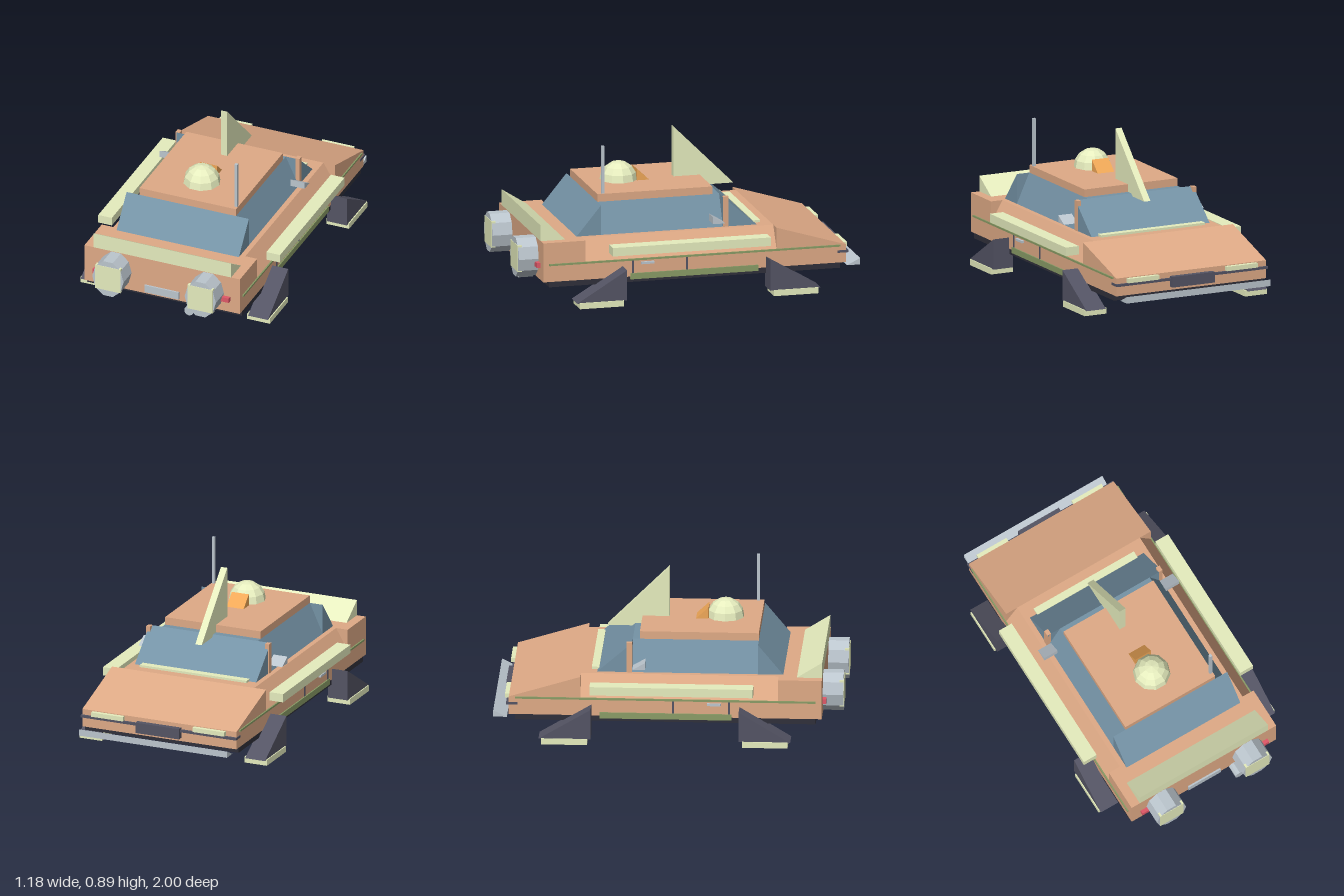
import * as THREE from 'three';

const paint = (color) => new THREE.MeshStandardMaterial({ color, flatShading: true });
const M = {
  body: paint(0xdfaa86), glass: paint(0x7593a6), pale: paint(0xe6edbe), dark: paint(0x545464),
  under: paint(0x30303a), metal: paint(0xbcc6ce), green: paint(0x8a9c66), red: paint(0xe05868), orange: paint(0xf0a858),
};

export function createModel() {
  const root = new THREE.Group();

  const add = (name, geometry, material) => {
    const mesh = new THREE.Mesh(geometry, material);
    mesh.name = name;
    root.add(mesh);
    return mesh;
  };
  // Box given by its limits on each axis
  const box = (name, mat, [x0, x1], [y0, y1], [z0, z1]) =>
    add(name, new THREE.BoxGeometry(x1 - x0, y1 - y0, z1 - z0)
      .translate((x0 + x1) / 2, (y0 + y1) / 2, (z0 + z1) / 2), mat);
  const extrude = (points, depth) => new THREE.ExtrudeGeometry(
    new THREE.Shape(points.map(([a, b]) => new THREE.Vector2(a, b))), { depth, bevelEnabled: false });
  // Side profile of [z, y] points, swept across x
  const across = (name, mat, points, x0, x1) =>
    add(name, extrude(points, x1 - x0).rotateY(-Math.PI / 2).translate(x1, 0, 0), mat);
  // Cross-section of [x, y] points, swept along z
  const along = (name, mat, points, z0, z1) =>
    add(name, extrude(points, z1 - z0).translate(0, 0, z0), mat);
  // Left and right copies; x limits are ordered for each side
  const sides = (make) => [1, -1].forEach((s) =>
    make(s === 1 ? 'left' : 'right', (a, b) => (s === 1 ? [a, b] : [-b, -a]), s));

  // Hull: sloped nose, chamfered middle, square end block
  const W = 0.483;
  across('noseHull', M.body, [[-0.91, 0.145], [-0.5, 0.145], [-0.5, 0.375], [-0.91, 0.25]], -W, W);
  along('middleHull', M.body,
    [[-W, 0.145], [W, 0.145], [W, 0.25], [0.41, 0.375], [-0.41, 0.375], [-W, 0.25]], -0.5, 0.63);
  box('endHull', M.body, [-W, W], [0.145, 0.375], [0.63, 0.88]);
  box('underside', M.under, [-W + 0.002, W - 0.002], [0.113, 0.146], [-0.875, 0.845]);

  // Cabin: core with sloped glass on all four sides, then the roof
  box('cabinCore', M.glass, [-0.3, 0.3], [0.37, 0.55], [-0.21, 0.51]);
  across('noseWindow', M.glass, [[-0.41, 0.375], [-0.21, 0.375], [-0.21, 0.55]], -0.38, 0.38);
  across('endWindow', M.glass, [[0.51, 0.375], [0.655, 0.375], [0.51, 0.55]], -0.38, 0.38);
  sides((side, span, s) => along(side + 'SideWindow', M.glass,
    [[0.3 * s, 0.375], [0.38 * s, 0.375], [0.3 * s, 0.55]], -0.21, 0.51));
  box('roof', M.body, [-0.3, 0.3], [0.55, 0.595], [-0.17, 0.51]);
  box('windowSill', M.pale, [-0.335, 0.335], [0.373, 0.388], [-0.443, -0.4]);

  // Roof fittings
  across('fin', M.pale, [[-0.015, 0.535], [-0.015, 0.89], [-0.37, 0.535]], -0.02, 0.02);
  add('dome', new THREE.SphereGeometry(0.108, 10, 4, 0, Math.PI * 2, 0, Math.PI / 2)
    .translate(0, 0.597, 0.305), M.pale);
  across('domeWedge', M.orange, [[0.21, 0.595], [0.21, 0.662], [0.138, 0.595]], -0.053, 0.053);
  box('antenna', M.metal, [0.28, 0.296], [0.595, 0.875], [0.468, 0.485]);
  across('spoiler', M.pale, [[0.88, 0.375], [0.88, 0.467], [0.735, 0.375]], -0.428, 0.428);

  sides((side, span, s) => {
    // Flank trim and doors
    box(side + 'TrimLine', M.green, span(0.475, 0.491), [0.24, 0.251], [-0.875, 0.845]);
    box(side + 'LowerSill', M.green, span(0.47, 0.491), [0.13, 0.165], [-0.39, 0.365]);
    box(side + 'SidePod', M.pale, span(0.48, 0.565), [0.292, 0.342], [-0.445, 0.49]);
    for (const z of [0.03, 0.35])
      box(side + 'DoorGap', M.dark, span(0.475, 0.487), [0.165, 0.24], [z - 0.006, z + 0.006]);
    box(side + 'DoorHandle', M.metal, span(0.48, 0.498), [0.217, 0.23], [0.225, 0.303]);

    // Window post and mirror
    box(side + 'WindowPost', M.body, span(0.36, 0.385), [0.375, 0.552], [-0.243, -0.21]);
    across(side + 'Mirror', M.metal,
      [[-0.133, 0.412], [-0.133, 0.453], [-0.205, 0.412]], ...span(0.363, 0.45));

    // Landing legs with pads
    for (const [z, tip, pad0, pad1] of [[0.41, 0.705, 0.43, 0.69], [-0.437, -0.735, -0.72, -0.457]]) {
      across(side + 'Leg', M.dark, [[z, 0.032], [z, 0.21], [tip, 0.032]], ...span(0.458, 0.582));
      box(side + 'FootPad', M.pale, span(0.447, 0.588), [0, 0.035], [pad0, pad1]);
    }

    // Thrusters and small lights
    const thruster = new THREE.CylinderGeometry(0.097, 0.097, 0.125, 10, 1, false, Math.PI / 2)
      .rotateX(Math.PI / 2).scale(1, 1.22, 1).translate(0.287 * s, 0.26, 0.935);
    add(side + 'Thruster', thruster, M.metal);
    box(side + 'ThrusterPlate', M.pale, span(0.208, 0.365), [0.185, 0.34], [0.975, 1]);
    box(side + 'RedLight', M.red, span(0.37, 0.423), [0.216, 0.245], [0.875, 0.902]);
    box(side + 'NoseLamp', M.pale, span(0.218, 0.417), [0.22, 0.246], [-0.935, -0.9]);
  });

  // End plate and exhaust
  box('endPlate', M.metal, [-0.107, 0.107], [0.157, 0.203], [0.88, 0.89]);
  add('exhaust', new THREE.CylinderGeometry(0.029, 0.029, 0.085, 10)
    .rotateX(Math.PI / 2).translate(0.196, 0.137, 0.91), M.metal);

  // Nose strip, grille and bumper blade
  box('noseStrip', M.dark, [-0.487, 0.487], [0.203, 0.217], [-0.925, -0.86]);
  box('grille', M.dark, [-0.137, 0.137], [0.165, 0.227], [-0.942, -0.905]);
  across('bumperBlade', M.metal, [[-0.922, 0.12], [-1, 0.12], [-1, 0.158]], -0.463, 0.463);

  return root;
}
